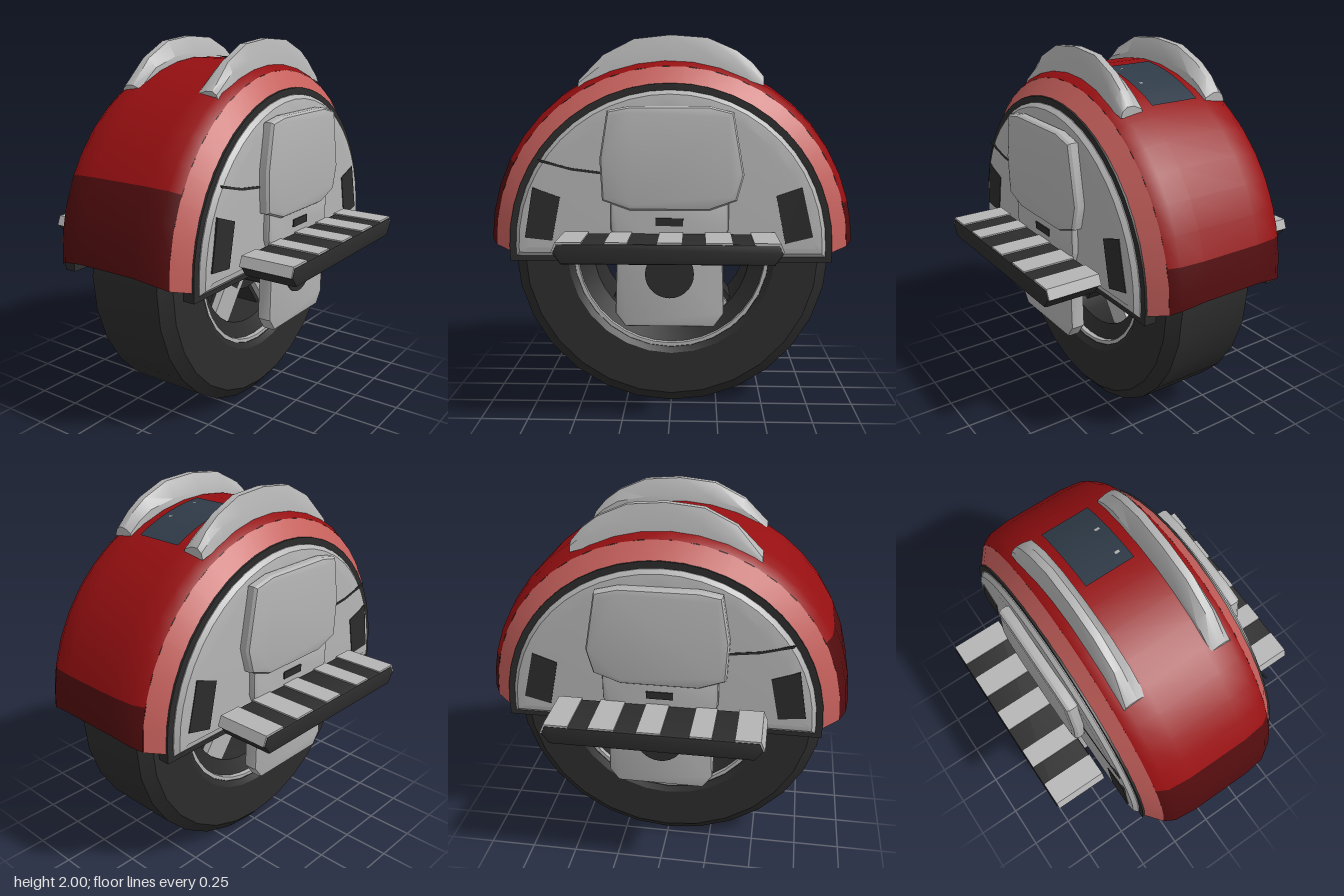
import * as THREE from 'three';
import { toCreasedNormals } from 'three/addons/utils/BufferGeometryUtils.js';

const mat = (name, color, side = THREE.FrontSide) => {
  const m = new THREE.MeshStandardMaterial({ color, side });
  m.name = name;
  return m;
};

export function createModel() {
  const red = mat('red', 0x960f11, THREE.DoubleSide);
  const darkRed = mat('darkRed', 0x520c0e, THREE.DoubleSide);
  const lightRed = mat('lightRed', 0xc6605c, THREE.DoubleSide);
  const black = mat('black', 0x2c2c2c, THREE.DoubleSide);
  const grey = mat('grey', 0xb4b4b4);
  const glass = mat('glass', 0x2f3b48, THREE.DoubleSide);
  const model = new THREE.Group();
  model.name = 'electricUnicycle';
  const add = (name, geo, material) => {
    const mesh = new THREE.Mesh(geo, material);
    mesh.name = name;
    model.add(mesh);
    return mesh;
  };
  const build = (pos, idx) => {
    const g = new THREE.BufferGeometry();
    g.setAttribute('position', new THREE.Float32BufferAttribute(pos, 3));
    g.setIndex(idx);
    g.computeVertexNormals();
    return g;
  };

  // Fender patch: [x, radius] profile swept over the wheel; angle 0 is front, PI is back
  const CY = 0.92;
  const lip = (x) => 0.035 - 0.07 * THREE.MathUtils.clamp((Math.abs(x) - 0.25) / 0.15, 0, 1);
  const sweep = (profile, from, to, segs) => {
    const pos = [], idx = [], n = profile.length;
    for (let i = 0; i <= segs; i++) {
      for (const [x, r] of profile) {
        const a = from ?? lip(x), b = to ?? Math.PI - lip(x);
        const p = a + (b - a) * i / segs;
        pos.push(x, CY + r * Math.sin(p), r * Math.cos(p));
      }
    }
    for (let i = 0; i < segs; i++) {
      for (let j = 0; j < n - 1; j++) {
        const a = i * n + j, d = a + n;
        idx.push(a, a + 1, d, a + 1, d + 1, d);
      }
    }
    return build(pos, idx);
  };

  // Side plate: [z, y] outline between two x positions, on side s
  const plate = (pts, x0, x1, s, bevel = 0, bevelDepth = bevel) => {
    const shape = new THREE.Shape(pts.map(([z, y]) => new THREE.Vector2(-s * z, y)));
    const g = new THREE.ExtrudeGeometry(shape, {
      depth: x1 - x0 - 2 * bevelDepth, bevelEnabled: bevel > 0, bevelSize: bevel,
      bevelOffset: -bevel, bevelThickness: bevelDepth, bevelSegments: 2,
    });
    g.translate(0, 0, x0 + bevelDepth);
    return toCreasedNormals(g.rotateY(s * Math.PI / 2), 0.5);
  };
  const halfDisc = (r, bottom) => {
    const pts = [[-r * 0.998, bottom], [r * 0.998, bottom]];
    for (let i = 0; i <= 24; i++) {
      const p = Math.PI * i / 24;
      pts.push([r * Math.cos(p), CY + r * Math.sin(p)]);
    }
    return pts;
  };
  const ring = (pts, segs) => {
    const g = new THREE.LatheGeometry(pts.map(([r, x]) => new THREE.Vector2(r, x)), segs);
    return toCreasedNormals(g.rotateZ(Math.PI / 2).translate(0, 0.85, 0), 0.4);
  };
  const rod = (r, x0, x1, y) =>
    new THREE.CylinderGeometry(r, r, x1 - x0, 28).rotateZ(Math.PI / 2).translate((x0 + x1) / 2, y, 0);

  // Wheel
  add('tire', ring([[0.53, -0.24], [0.56, -0.26], [0.79, -0.26], [0.85, -0.21],
    [0.85, 0.21], [0.79, 0.26], [0.56, 0.26], [0.53, 0.24], [0.53, -0.24]], 28), black);
  add('rimEdge', ring([[0.51, -0.235], [0.535, -0.235], [0.535, 0.235], [0.51, 0.235], [0.51, -0.235]], 36), grey);
  add('rim', ring([[0.43, -0.17], [0.515, -0.21], [0.515, 0.21], [0.43, 0.17], [0.43, -0.17]], 36), black);
  add('hub', rod(0.24, -0.16, 0.16, 0.85), black);
  add('axle', rod(0.125, -0.42, 0.42, 0.79), black);
  for (let i = 0; i < 5; i++) {
    const spoke = new THREE.Group();
    spoke.name = 'spoke';
    spoke.position.y = 0.85;
    spoke.rotation.x = Math.PI / 5 + i * Math.PI * 2 / 5;
    const core = new THREE.Mesh(new THREE.BoxGeometry(0.24, 0.3, 0.2), black);
    core.position.y = -0.32;
    const cover = new THREE.Mesh(new THREE.BoxGeometry(0.32, 0.27, 0.15), grey);
    cover.position.y = -0.31;
    spoke.add(core, cover);
    model.add(spoke);
  }

  // Fender
  const shell = [[-0.345, 0.92], [-0.29, 0.955], [-0.17, 0.97], [0.17, 0.97], [0.29, 0.955], [0.345, 0.92]];
  const FRONT = 0.48, BACK = Math.PI - 0.24;
  add('frontFlap', sweep(shell, null, FRONT, 3), darkRed);
  add('fenderShell', sweep(shell, FRONT, BACK, 16), red);
  add('rearFlap', sweep(shell, BACK, null, 2), darkRed);
  add('fenderLiner', sweep([[-0.4, 0.83], [-0.335, 0.905], [-0.28, 0.94], [0.28, 0.94], [0.335, 0.905], [0.4, 0.83]],
    null, null, 24), black);
  add('leftFenderEdge', sweep([[0.345, 0.92], [0.41, 0.835]], null, null, 21), lightRed);
  add('rightFenderEdge', sweep([[-0.41, 0.835], [-0.345, 0.92]], null, null, 21), lightRed);

  // Display
  add('display', sweep([[-0.14, 0.977], [0.13, 0.977]], 1.643, 2.076, 6), glass);
  for (const [x, a] of [[0.08, 1.705], [0.08, 1.885]]) {
    add('displayMark', sweep([[x - 0.012, 0.98], [x + 0.012, 0.98]], a, a + 0.015, 1), grey);
  }

  // Carrying handle: blade lofted along z from [z, bottom, top, x] stations
  const stations = [[-0.48, 1.74, 1.79, 0.25], [-0.42, 1.76, 1.86, 0.25], [-0.34, 1.79, 1.92, 0.247],
    [-0.19, 1.82, 1.985, 0.242], [0, 1.83, 2, 0.24], [0.19, 1.82, 1.98, 0.24],
    [0.35, 1.78, 1.9, 0.24], [0.48, 1.73, 1.77, 0.24]];
  const handle = (s) => {
    const pos = [], idx = [], n = 6;
    for (const [z, yb, yt, cx] of stations) {
      const h = Math.min(0.08, (yt - yb) * 0.6);
      const sec = [[-0.06, yb], [-0.055, yb + h], [-0.008, yt], [0.03, yt], [0.055, yb + h], [0.065, yb]];
      if (s < 0) sec.reverse();
      for (const [x, y] of sec) pos.push(s * (cx + x), y, z);
    }
    const last = (stations.length - 1) * n;
    for (let a = 0; a < last; a += n) {
      for (let j = 0; j < n; j++) {
        const k = (j + 1) % n;
        idx.push(a + j, a + n + j, a + k, a + k, a + n + j, a + n + k);
      }
    }
    for (let j = 1; j < n - 1; j++) idx.push(0, j, j + 1, last, last + j + 1, last + j);
    return toCreasedNormals(build(pos, idx), 0.5);
  };

  for (const s of [1, -1]) {
    const side = s > 0 ? 'left' : 'right';
    const part = (name, geo, m) => add(side + name, geo, m);
    part('Handle', handle(s), grey);

    // Side body
    part('Trim', plate(halfDisc(0.835, 0.84), 0.355, 0.42, s), black);
    part('SidePanel', plate(halfDisc(0.8, 0.87), 0.37, 0.455, s, 0.07, 0.03), grey);
    part('Pad', plate([[0.31, 1.62], [0.2, 1.64], [-0.2, 1.64], [-0.32, 1.61], [-0.375, 1.3], [-0.34, 1.17],
      [-0.2, 1.12], [0.2, 1.12], [0.34, 1.17], [0.35, 1.38]], 0.44, 0.515, s, 0.03, 0.02), grey);
    part('FrontLamp', plate([[0.7, 1.23], [0.56, 1.18], [0.605, 0.955], [0.745, 0.97]], 0.45, 0.459, s), black);
    part('RearLamp', plate([[-0.54, 1.19], [-0.67, 1.235], [-0.73, 0.98], [-0.59, 0.945]], 0.45, 0.459, s), black);
    part('Seam', plate([[0.67, 1.375], [0.5, 1.33], [0.34, 1.31], [0.34, 1.297], [0.5, 1.317], [0.66, 1.36]],
      0.45, 0.458, s), black);

    // Pedal hanger
    part('Hanger', plate([[0.3, 1.17], [0.3, 1.02], [0.27, 0.95], [0.28, 0.58], [0.23, 0.51],
      [-0.23, 0.51], [-0.28, 0.58], [-0.27, 0.95], [-0.3, 1.02], [-0.3, 1.17]], 0.41, 0.49, s, 0.015), grey);
    part('HangerSlot', plate([[0.07, 1.04], [-0.07, 1.04], [-0.07, 1.08], [0.07, 1.08]], 0.488, 0.496, s), black);
    part('AxleCap', rod(0.125, 0.4, 0.497, 0.79).rotateY(s > 0 ? 0 : Math.PI), black);

    // Pedal with striped top
    part('Pedal', plate([[0.55, 0.955], [0.53, 1], [-0.53, 1], [-0.55, 0.955], [-0.51, 0.9], [0.51, 0.9]],
      0.48, 0.775, s, 0.012), black);
    for (const [a, b] of [[-0.31, -0.18], [-0.07, 0.05], [0.19, 0.3]]) {
      const stripe = part('PedalStripe', new THREE.BoxGeometry(0.285, 0.009, b - a), grey);
      stripe.position.set(s * 0.6275, 1.003, (a + b) / 2);
    }
    for (const e of [1, -1]) {
      part('PedalEnd', plate([[e * 0.556, 0.955], [e * 0.535, 1.007], [e * 0.41, 1.007], [e * 0.41, 0.955]],
        0.48, 0.77, s), grey);
    }
  }
  return model;
}
